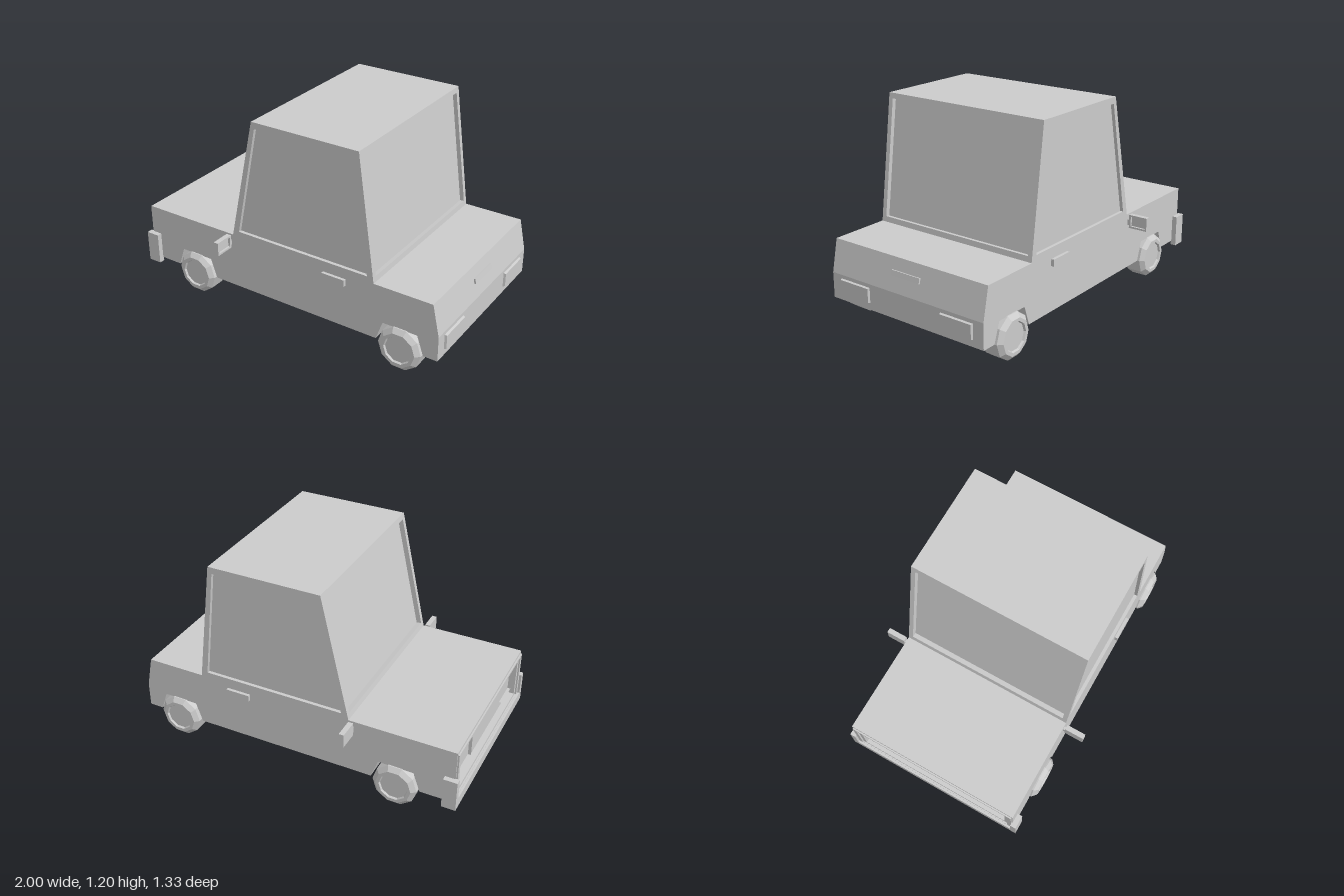
import * as THREE from 'three';

const material = new THREE.MeshStandardMaterial({ color: 0xcccccc, flatShading: true });
const W = 0.535; // half width of the body

function add(parent, name, geometry) {
  const mesh = new THREE.Mesh(geometry, material);
  mesh.name = name;
  parent.add(mesh);
  return mesh;
}

// Box given by its lower and upper limits on each axis
function box(parent, name, [x0, x1], [y0, y1], [z0, z1]) {
  const mesh = add(parent, name, new THREE.BoxGeometry(x1 - x0, y1 - y0, z1 - z0));
  mesh.position.set((x0 + x1) / 2, (y0 + y1) / 2, (z0 + z1) / 2);
  return mesh;
}

const toShape = (points) => new THREE.Shape(points.map(([x, y]) => new THREE.Vector2(x, y)));
const rect = (w, y0, y1) => [[-w, y0], [w, y0], [w, y1], [-w, y1]];

// Rectangular ring in the z-y plane, extruded from x = back towards -x
function ring(parent, name, outer, inner, back, front) {
  const shape = toShape(outer);
  shape.holes.push(toShape(inner));
  const geometry = new THREE.ExtrudeGeometry(shape, { depth: back - front, bevelEnabled: false });
  geometry.rotateY(-Math.PI / 2);
  return Object.assign(add(parent, name, geometry)).position.setX(back);
}

function quadGeometry(quads) {
  const positions = quads.flatMap(([a, b, c, d]) => [a, b, c, a, c, d].flatMap((p) => p.toArray()));
  const geometry = new THREE.BufferGeometry();
  geometry.setAttribute('position', new THREE.Float32BufferAttribute(positions, 3));
  geometry.computeVertexNormals();
  return geometry;
}

// Four-cornered wall (counter-clockwise from outside) with a sunken window
function windowWall(corners, u, v0, v1, depth) {
  const o = corners.map((p) => new THREE.Vector3(...p));
  const at = (s, t) => o[0].clone().lerp(o[1], s).lerp(o[3].clone().lerp(o[2], s), t);
  const rim = [at(u, v0), at(1 - u, v0), at(1 - u, v1), at(u, v1)];
  const normal = o[1].clone().sub(o[0]).cross(o[3].clone().sub(o[0])).normalize();
  const pane = rim.map((p) => p.clone().addScaledVector(normal, -depth));
  const quads = [pane];
  for (let i = 0; i < 4; i++) {
    const j = (i + 1) % 4;
    quads.push([o[i], o[j], rim[j], rim[i]], [rim[i], rim[j], pane[j], pane[i]]);
  }
  return quadGeometry(quads);
}

export function createModel() {
  const car = new THREE.Group();
  car.name = 'car';

  // Lower body with wheel tunnels running right across
  const body = toShape([
    [-0.94, 0.13], [-0.78, 0.13], [-0.74, 0.245], [-0.53, 0.245], [-0.49, 0.13],
    [0.61, 0.13], [0.65, 0.245], [0.86, 0.245], [0.9, 0.13],
    [0.985, 0.13], [0.985, 0.28], [0.945, 0.468], [-0.94, 0.468],
  ]);
  const bodyGeometry = new THREE.ExtrudeGeometry(body, { depth: 2 * W, bevelEnabled: false });
  bodyGeometry.translate(0, 0, -W);
  add(car, 'body', bodyGeometry);

  // Recessed nose: body rim, raised trim
  ring(car, 'noseRim', rect(W, 0.13, 0.468), rect(0.48, 0.185, 0.425), -0.94, -0.978);
  ring(car, 'grilleTrim', rect(0.528, 0.145, 0.452), rect(0.503, 0.168, 0.44), -0.975, -0.987);

  // Cabin: four framed walls and a roof
  const [y0, y1] = [0.465, 1.205];
  const [f0, f1, r0, r1] = [-0.35, -0.185, 0.59, 0.49];
  const cabin = new THREE.Group();
  cabin.name = 'cabin';
  car.add(cabin);
  add(cabin, 'leftWindow', windowWall(
    [[f0, y0, W], [r0, y0, W], [r1, y1, W], [f1, y1, W]], 0.04, 0.047, 0.948, 0.02));
  add(cabin, 'rightWindow', windowWall(
    [[r0, y0, -W], [f0, y0, -W], [f1, y1, -W], [r1, y1, -W]], 0.04, 0.047, 0.948, 0.02));
  add(cabin, 'windshield', windowWall(
    [[f0, y0, -W], [f0, y0, W], [f1, y1, W], [f1, y1, -W]], 0.026, 0.047, 0.958, 0.03));
  add(cabin, 'rearWindow', windowWall(
    [[r0, y0, W], [r0, y0, -W], [r1, y1, -W], [r1, y1, W]], 0.026, 0.047, 0.958, 0.025));
  add(cabin, 'roof', quadGeometry([[[f1, W], [r1, W], [r1, -W], [f1, -W]]
    .map(([x, z]) => new THREE.Vector3(x, y1, z))]));

  // Front bumper strip and tailgate handle
  box(car, 'bumperStrip', [-1, -0.975], [0.105, 0.165], [-0.55, 0.55]);
  const tailHandle = box(car, 'tailgateHandle', [0.95, 0.973], [0.367, 0.398], [-0.1, 0.1]);
  tailHandle.rotation.z = 0.2;

  // Wheel profile: bevelled tyre with a sunken hub
  const wheelGeometry = new THREE.LatheGeometry([
    [0, -0.07], [0.1, -0.07], [0.131, -0.047], [0.131, 0.047],
    [0.105, 0.07], [0.085, 0.07], [0.08, 0.058], [0, 0.058],
  ].map(([r, y]) => new THREE.Vector2(r, y)), 10, Math.PI / 10);
  wheelGeometry.rotateX(Math.PI / 2);

  // Tail light: block tapering towards its outer face
  const lampGeometry = new THREE.BoxGeometry(0.03, 0.1, 0.225);
  const p = lampGeometry.attributes.position;
  for (let i = 0; i < p.count; i++) {
    if (p.getX(i) > 0) p.setXYZ(i, p.getX(i), p.getY(i) * 0.82, p.getZ(i) * 0.92);
  }

  for (const [side, s] of [['left', 1], ['right', -1]]) {
    const span = (a, b) => (s > 0 ? [a, b] : [-b, -a]);

    for (const [end, x] of [['Front', -0.635], ['Rear', 0.76]]) {
      const wheel = add(car, side + end + 'Wheel', wheelGeometry);
      wheel.position.set(x, 0.125, s * 0.495);
      if (s < 0) wheel.rotation.y = Math.PI;
    }

    const lamp = add(car, side + 'TailLight', lampGeometry);
    lamp.position.set(0.983, 0.214, s * 0.36);

    box(car, side + 'Headlight', [-0.95, -0.968], [0.255, 0.385], span(0.265, 0.425))
      .scale.set(-1, 1, 1);
    box(car, side + 'BumperEnd', [-1, -0.918], [0.105, 0.295], span(0.53, 0.565));
    box(car, side + 'DoorHandle', [0.27, 0.415], [0.395, 0.435], span(0.53, 0.553));

    // Mirror: arm, back plate and rim around the sunken glass
    const mirror = new THREE.Group();
    mirror.name = side + 'Mirror';
    car.add(mirror);
    box(mirror, 'mirrorArm', [-0.382, -0.362], [0.4, 0.435], span(0.53, 0.56));
    box(mirror, 'mirrorPlate', [-0.385, -0.368], [0.387, 0.468], span(0.548, 0.665));
    const rim = new THREE.Group();
    rim.position.z = s * 0.6065;
    mirror.add(rim);
    ring(rim, 'mirrorRim', rect(0.0585, 0.387, 0.468), rect(0.047, 0.398, 0.457), -0.355, -0.37);
  }
  return car;
}
